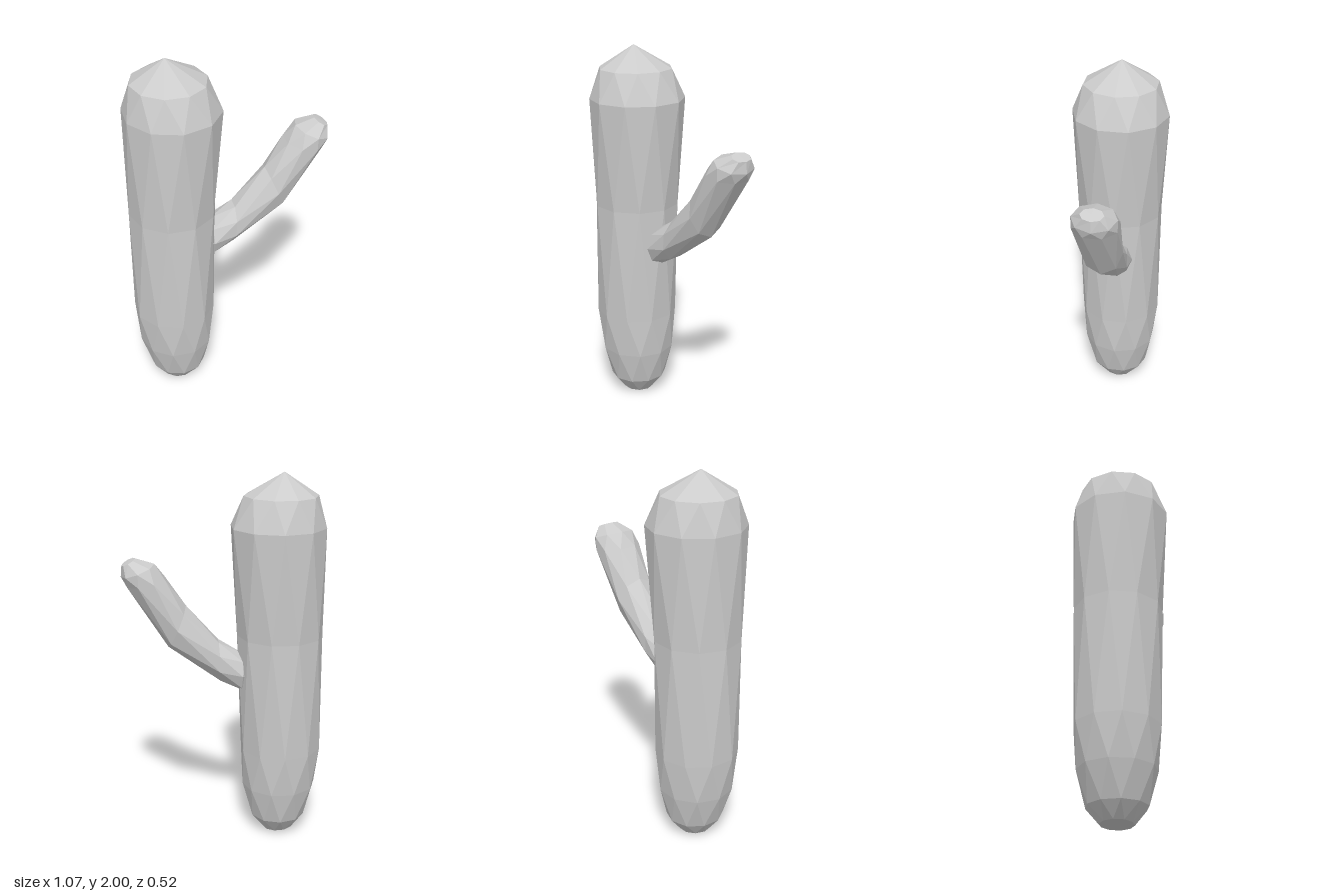
import * as THREE from 'three';

// Lofts elliptical rings [x1, y1, x2, y2, halfDepth, turn]: the two points are the
// opposite ends of the ring in the xy plane, turn is counted in segments.
function loft(name, rings, sides, material) {
  const loops = rings.map(([x1, y1, x2, y2, depth, turn]) => {
    const loop = [];
    for (let j = 0; j < sides; j++) {
      const a = ((j + turn) / sides) * Math.PI * 2;
      const c = Math.cos(a) / 2;
      loop.push(new THREE.Vector3(
        (x1 + x2) / 2 + (x1 - x2) * c,
        (y1 + y2) / 2 + (y1 - y2) * c,
        depth * Math.sin(a)
      ));
    }
    return loop;
  });

  const points = [];
  const triangle = (a, b, c) => {
    if (a.distanceTo(b) > 1e-5 && b.distanceTo(c) > 1e-5 && c.distanceTo(a) > 1e-5) points.push(a, b, c);
  };
  for (let i = 0; i < loops.length - 1; i++) {
    for (let j = 0; j < sides; j++) {
      const k = (j + 1) % sides;
      const lower = loops[i], upper = loops[i + 1];
      triangle(lower[j], upper[j], lower[k]);
      triangle(lower[k], upper[j], upper[k]);
    }
  }
  const geometry = new THREE.BufferGeometry().setFromPoints(points);
  geometry.computeVertexNormals();
  const mesh = new THREE.Mesh(geometry, material);
  mesh.name = name;
  return mesh;
}

export function createModel() {
  const group = new THREE.Group();
  group.name = 'cactus';
  const material = new THREE.MeshStandardMaterial({ color: 0xcccccc, flatShading: true });

  // Trunk: rounded foot, slightly swelling body, faceted domed top
  group.add(loft('trunk', [
    [-0.30, 0.00, -0.30, 0.00, 0, 0],
    [-0.22, 0.01, -0.39, 0.02, 0.085, 0],
    [-0.15, 0.10, -0.45, 0.10, 0.155, 0.5],
    [-0.105, 0.28, -0.505, 0.28, 0.20, 1],
    [-0.09, 0.50, -0.53, 0.50, 0.22, 1.5],
    [-0.07, 1.14, -0.53, 1.14, 0.23, 2],
    [-0.03, 1.72, -0.535, 1.72, 0.258, 2.5],
    [-0.10, 1.88, -0.49, 1.88, 0.20, 3],
    [-0.31, 2.00, -0.31, 2.00, 0, 3]
  ], 10, material));

  // Arm: leaves the trunk sideways, then bends upward to a blunt tip
  group.add(loft('arm', [
    [-0.17, 0.90, -0.17, 0.90, 0, 0],
    [-0.09, 0.835, -0.10, 1.04, 0.10, 0],
    [0.02, 0.89, 0.03, 1.12, 0.098, 0.5],
    [0.295, 1.085, 0.20, 1.31, 0.108, 1],
    [0.51, 1.42, 0.30, 1.46, 0.123, 1.5],
    [0.535, 1.47, 0.36, 1.535, 0.115, 2],
    [0.53, 1.53, 0.46, 1.565, 0.06, 2],
    [0.495, 1.55, 0.495, 1.55, 0, 2]
  ], 8, material));

  return group;
}
